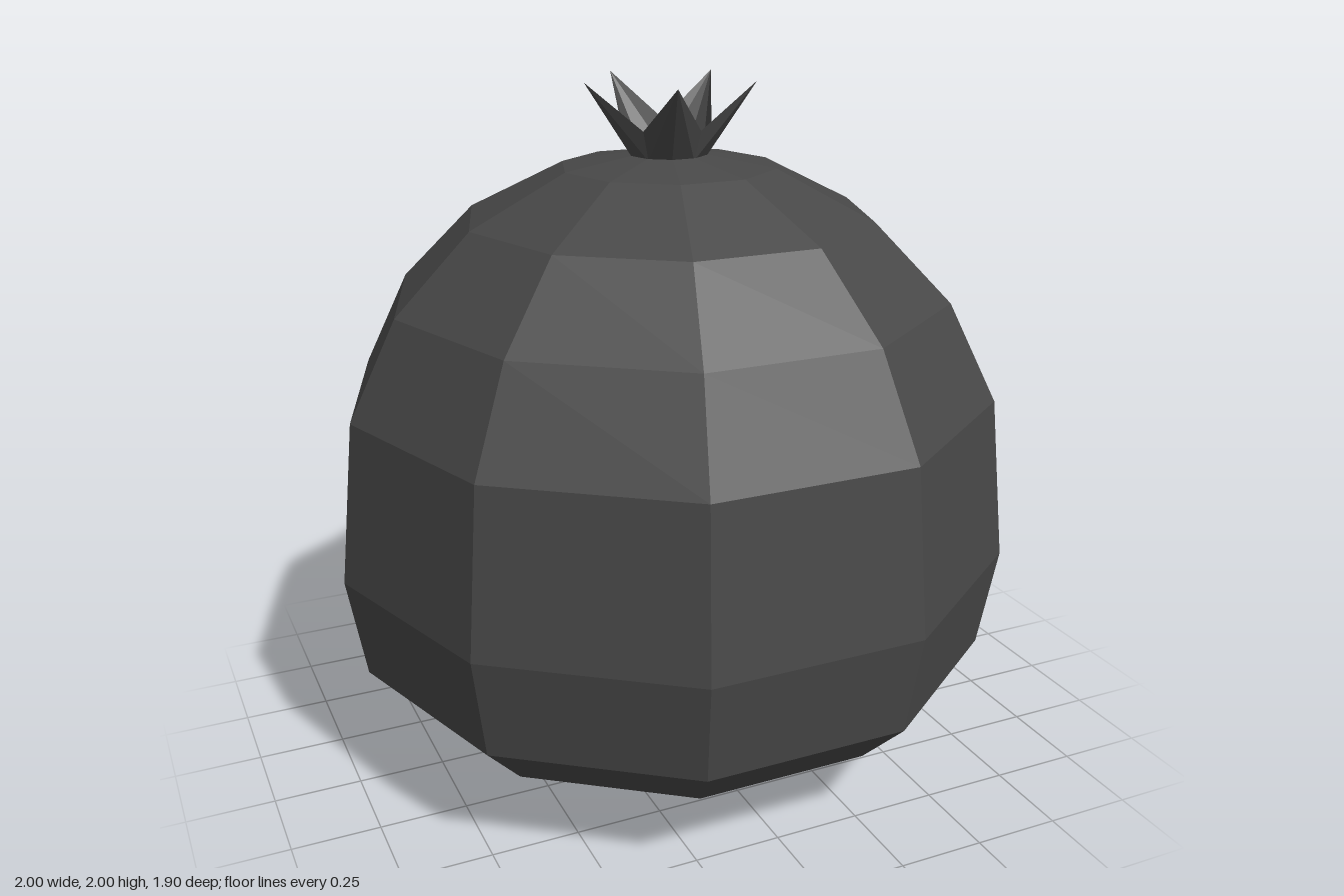
import * as THREE from 'three';

const SIDES = 10;

export function createModel() {
  const group = new THREE.Group();
  const color = 0x484848;

  // Fruit body: ten-sided lathe, wide below the middle, profile from bottom to top
  const profile = [
    [0, 0], [0.31, 0.03], [0.59, 0.105], [0.81, 0.21], [0.95, 0.355], [1, 0.65],
    [0.95, 1.12], [0.81, 1.4], [0.59, 1.62], [0.31, 1.76], [0.11, 1.793], [0, 1.795],
  ].map(([r, y]) => new THREE.Vector2(r, y));
  const body = new THREE.Mesh(
    new THREE.LatheGeometry(profile, SIDES, Math.PI / 2),
    new THREE.MeshStandardMaterial({ color, flatShading: true })
  );
  body.name = 'fruitBody';
  group.add(body);

  // Crown: flared ring whose rim alternates between valleys and five pointed tips
  const positions = [];
  const indices = [];
  for (let k = 0; k < SIDES; k++) {
    const angle = (k / SIDES) * Math.PI * 2;
    const tip = k % 2 === 1;
    const ring = (r, y) => positions.push(r * Math.cos(angle), y, r * Math.sin(angle));
    ring(0.108, 1.785);
    ring(tip ? 0.25 : 0.135, tip ? 2 : 1.87);

    // Split each panel along the line from the tip to its own base corner
    const a = 2 * k, b = 2 * ((k + 1) % SIDES);
    if (tip) indices.push(a, a + 1, b, b, a + 1, b + 1);
    else indices.push(a, b + 1, b, a, a + 1, b + 1);
  }
  const crownGeometry = new THREE.BufferGeometry();
  crownGeometry.setAttribute('position', new THREE.Float32BufferAttribute(positions, 3));
  crownGeometry.setIndex(indices);
  crownGeometry.computeVertexNormals();
  const crown = new THREE.Mesh(
    crownGeometry,
    new THREE.MeshStandardMaterial({ color, flatShading: true, side: THREE.DoubleSide })
  );
  crown.name = 'crown';
  group.add(crown);

  return group;
}
